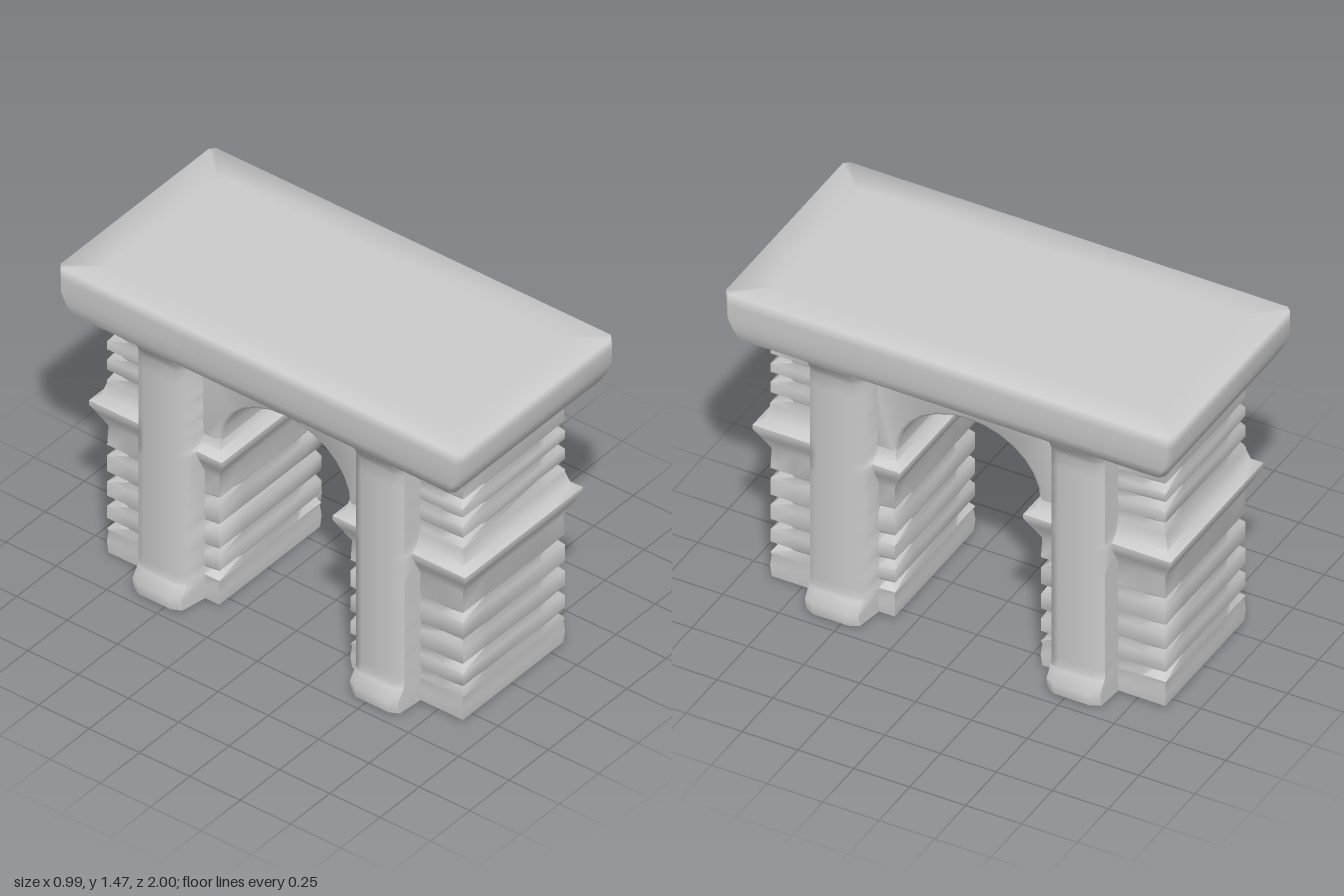
import * as THREE from 'three';
import { toCreasedNormals } from 'three/addons/utils/BufferGeometryUtils.js';

const stone = new THREE.MeshStandardMaterial({ color: 0xcccccc });

// Skin closed rings (counter-clockwise from above, listed bottom to top) and cap both ends
function loft(rings, bottomY, topY) {
  const n = rings[0].length, pos = rings.flat(2), idx = [];
  for (let r = 0; r < rings.length - 1; r++) {
    for (let i = 0; i < n; i++) {
      const a = r * n + i, b = r * n + (i + 1) % n;
      idx.push(a, b, b + n, a, b + n, a + n);
    }
  }
  const cap = (start, y, up) => {
    const ring = rings[start / n], c = pos.length / 3;
    const mean = k => ring.reduce((s, p) => s + p[k], 0) / n;
    pos.push(mean(0), y, mean(2));
    for (let i = 0; i < n; i++) {
      const a = start + i, b = start + (i + 1) % n;
      idx.push(c, up ? a : b, up ? b : a);
    }
  };
  cap(0, bottomY, false);
  cap((rings.length - 1) * n, topY, true);
  const g = new THREE.BufferGeometry();
  g.setAttribute('position', new THREE.Float32BufferAttribute(pos, 3));
  g.setIndex(idx);
  g.computeVertexNormals();
  return g;
}

function mesh(name, geometry) {
  const m = new THREE.Mesh(geometry, stone);
  m.name = name;
  return m;
}

// Pier plan, +x half: x, z, kind (f = face, c = corner stone, p = side pilaster)
const PLAN = [
  [0.17, 0.88, 'f'], [0.32, 0.88, 'c'], [0.32, 0.78, 'f'], [0.32, 0.67, 'f'],
  [0.41, 0.66, 'p'], [0.43, 0.62, 'p'], [0.43, 0.46, 'p'], [0.41, 0.42, 'p'],
  [0.32, 0.40, 'f'], [0.32, 0.33, 'c'], [0.17, 0.33, 'f'],
];
// Height, face swell (band and cove), pilaster swell (foot and cove)
const PROFILE = [
  [0.015, 0, 0.03], [0.07, 0.005, 0.04], [0.12, 0, 0.005], [0.64, 0, 0], [0.71, 0.035, 0],
  [0.75, 0.055, 0], [0.77, 0.055, 0], [0.795, 0.02, 0], [0.85, 0.005, 0],
  [1.17, 0, 0], [1.2, 0.01, 0.012], [1.25, 0.05, 0.045],
];
const JOINTS = [0.17, 0.28, 0.4, 0.53, 0.9, 1.0, 1.09];

function pier(seed) {
  const rand = () => (seed = (seed * 16807) % 2147483647) / 2147483647;
  // Each masonry joint is a shallow notch between two full rings
  const levels = PROFILE.map(p => [...p, 0]);
  for (const y of JOINTS) {
    levels.push([y - 0.035, 0.004, 0, 0], [y, 0, 0, 1], [y + 0.015, 0.004, 0, 0]);
  }
  levels.sort((a, b) => a[0] - b[0]);

  const mirrored = PLAN.map(([x, z, k]) => [-x, z, k]).reverse();
  const plan = [...PLAN, ...mirrored];
  const rings = levels.map(([y, swell, pil, notch]) => plan.map(([x, z, kind]) => {
    let dx = kind === 'p' ? pil : swell, dz = kind === 'p' ? 0 : swell;
    if (kind === 'c' && notch) dx = dz = -0.012 - 0.028 * rand();
    if (kind === 'f' && notch) dx = dz = -0.008 * rand();
    const endFace = z > 0.85 ? 1 : z < 0.35 ? -1 : 0;
    const sideFace = Math.abs(x) > 0.2 ? Math.sign(x) : 0;
    return [x + sideFace * dx, y, z + endFace * dz];
  }));
  return toCreasedNormals(loft(rings, 0, 1.25), 0.95);
}

// Wall above the opening, with the round arch cut from its lower edge
function archWall() {
  const s = new THREE.Shape();
  s.moveTo(0.45, 0.76);
  s.lineTo(0.45, 1.25);
  s.lineTo(-0.45, 1.25);
  s.lineTo(-0.45, 0.76);
  s.lineTo(-0.32, 0.76);
  s.lineTo(-0.32, 0.82);
  for (let i = 1; i <= 14; i++) {
    const a = Math.PI * (1 - i / 14);
    s.lineTo(0.32 * Math.cos(a), 0.82 + 0.28 * Math.sin(a));
  }
  s.lineTo(0.32, 0.76);
  const g = new THREE.ExtrudeGeometry(s, {
    depth: 0.62, bevelEnabled: true, bevelThickness: 0.02, bevelSize: 0.015,
    bevelOffset: -0.015, bevelSegments: 2,
  });
  g.translate(0, 0, -0.31);
  g.rotateY(Math.PI / 2);
  return toCreasedNormals(g, 0.9);
}

// Overhanging top slab with a cove under it
function slab() {
  const levels = [
    [1.16, 0.32, 0.86], [1.2, 0.35, 0.885], [1.25, 0.455, 0.935], [1.255, 0.48, 0.955],
    [1.3, 0.488, 0.98], [1.35, 0.495, 0.998], [1.42, 0.495, 1], [1.47, 0.493, 1], [1.47, 0.36, 0.86],
  ];
  const rings = levels.map(([y, x, z]) => [
    [-x + 0.02, y, z], [0, y, z], [x - 0.02, y, z], [x, y, z - 0.02], [x, y, 0], [x, y, 0.02 - z],
    [x - 0.02, y, -z], [0, y, -z], [0.02 - x, y, -z], [-x, y, 0.02 - z], [-x, y, 0], [-x, y, z - 0.02],
  ]);
  return loft(rings, 1.16, 1.47);
}

export function createModel() {
  const group = new THREE.Group();
  group.name = 'stoneArch';
  const back = mesh('backPier', pier(917));
  back.rotation.y = Math.PI;
  group.add(mesh('frontPier', pier(41)), back, mesh('archWall', archWall()), mesh('topSlab', slab()));
  return group;
}
